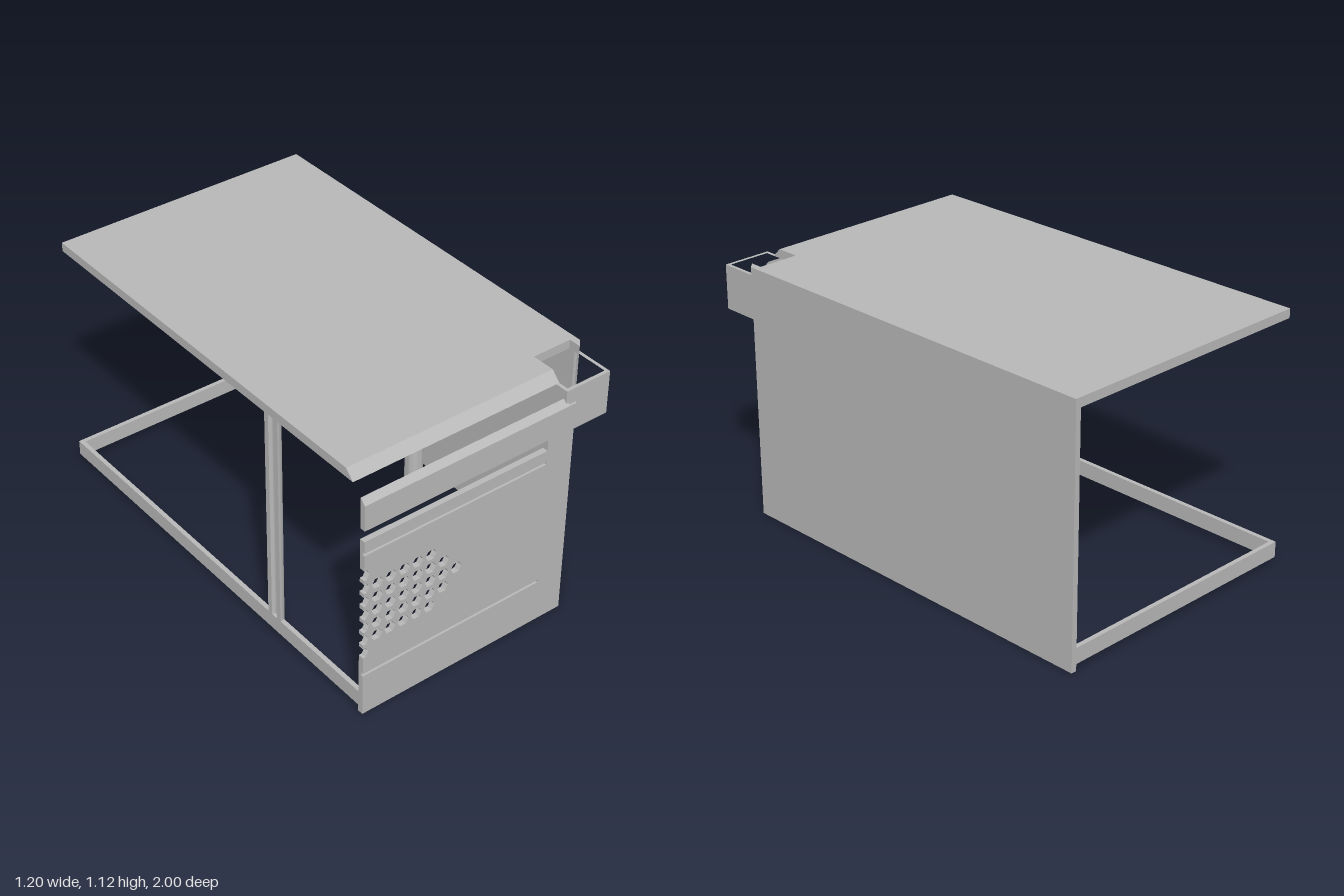
import * as THREE from 'three';
import { toCreasedNormals } from 'three/addons/utils/BufferGeometryUtils.js';

const grey = new THREE.MeshStandardMaterial({ color: 0xb8b8b8 });
grey.name = 'plainGrey';

const shapeOf = (pts) => new THREE.Shape(pts.map(([x, y]) => new THREE.Vector2(x, y)));

export function createModel() {
  const model = new THREE.Group();
  model.name = 'enclosure';

  const add = (name, geo, x = 0, y = 0, z = 0) => {
    const mesh = new THREE.Mesh(geo, grey);
    mesh.name = name;
    mesh.position.set(x, y, z);
    model.add(mesh);
    return mesh;
  };
  const box = (name, x0, x1, y0, y1, z0, z1) =>
    add(name, new THREE.BoxGeometry(x1 - x0, y1 - y0, z1 - z0),
      (x0 + x1) / 2, (y0 + y1) / 2, (z0 + z1) / 2);
  const extrude = (shape, depth) =>
    new THREE.ExtrudeGeometry(shape, { depth, bevelEnabled: false, curveSegments: 16 });
  // Raises a floor-plan outline, given as [x, z], from y0 to y1
  const planShape = (pts) => shapeOf(pts.map(([x, z]) => [x, -z]));
  const raise = (shape, y0, y1) => extrude(shape, y1 - y0).rotateX(-Math.PI / 2).translate(0, y0, 0);

  // Top plate, notched for the corner socket, with a sloping front edge
  const top = raise(planShape([
    [-0.6, -1], [0.6, -1], [0.6, 0.81], [0.57, 0.84], [0.57, 0.785], [0.385, 0.785], [0.385, 0.89], [-0.6, 0.89],
  ]), 1.08, 1.12);
  const p = top.attributes.position;
  for (let i = 0; i < p.count; i++) {
    if (Math.abs(p.getZ(i) - 0.89) < 0.001 && p.getY(i) < 1.1) p.setZ(i, 0.93);
  }
  top.computeVertexNormals();
  add('topPlate', top);

  // Side wall and angled corner wall
  box('sideWall', 0.575, 0.6, 0, 1.08, -1, 0.81);
  add('cornerWall', raise(planShape([[0.41, 1], [0.6, 0.81], [0.575, 0.8], [0.4, 0.975]]), 0, 0.885));
  add('cornerWallFrontEdge', raise(planShape([[0.41, 1], [0.42, 0.99], [0.4, 0.985], [0.4, 1]]), 0.885, 1.015));
  add('cornerWallSideEdge', raise(planShape([[0.59, 0.82], [0.6, 0.81], [0.59, 0.8]]), 0.885, 1.08));

  // Front panel: hexagonal vents and a long slot, all open at the cut edge
  const left = -0.6, step = 0.0635, r = 0.026, h = r * Math.sqrt(3) / 2;
  const groove = (y) => [[left, y + 0.0075], [0.28, y + 0.0075], [0.28, y - 0.0075], [left, y - 0.0075]];
  const frontShape = (grooved) => {
    const pts = [[left, 0], [0.41, 0], [0.41, 1.015], [left, 1.015],
      [left, 0.9], [0.28, 0.9], [0.28, 0.85], [left, 0.85]];
    if (grooved) pts.push(...groove(0.7925));
    for (let row = 3; row >= -3; row--) {
      const y = 0.5 + row * step;
      pts.push([left, y + h], [left + r / 2, y + h], [left + r, y], [left + r / 2, y - h], [left, y - h]);
    }
    if (grooved) pts.push(...groove(0.2025));
    const shape = shapeOf(pts);
    const columns = [7, 6, 5, 0];
    for (let row = -3; row <= 3; row++) {
      for (let col = 1; col <= columns[Math.abs(row)]; col++) {
        const hole = new THREE.Path();
        for (let k = 0; k < 6; k++) {
          const a = k * Math.PI / 3;
          const x = left + col * step + r * Math.cos(a), y = 0.5 + row * step + r * Math.sin(a);
          if (k) hole.lineTo(x, y); else hole.moveTo(x, y);
        }
        hole.closePath();
        shape.holes.push(hole);
      }
    }
    return shape;
  };
  add('frontPanelInner', extrude(frontShape(false), 0.015), 0, 0, 0.975);
  add('frontPanelGrooved', extrude(frontShape(true), 0.01), 0, 0, 0.99);

  // Sloping lip along the top of the front panel
  const lip = extrude(shapeOf([[-1, 1.015], [-0.975, 1.015], [-0.975, 1.04]]), 0.98).rotateY(Math.PI / 2);
  add('frontLip', lip, left);

  // Bottom rails on the two open sides
  box('openSideRail', -0.6, -0.58, 0.03, 0.1, -1, 0.975);
  box('backRail', -0.6, 0.575, 0.03, 0.1, -1, -0.98);

  // Corner socket, open above and below
  const socket = planShape([[0.37, 0.77], [0.59, 0.77], [0.59, 0.99], [0.37, 0.99]]);
  socket.holes.push(planShape([[0.385, 0.785], [0.575, 0.785], [0.575, 0.975], [0.385, 0.975]]));
  add('cornerSocket', raise(socket, 0.885, 1.08));
  // Part of the corner wall that passes below the socket opening is left standing

  // Hollow posts: one whole, one halved at the open side
  const tube = new THREE.Shape().absarc(0, 0, 0.04, 0, Math.PI * 2);
  tube.holes.push(new THREE.Path().absarc(0, 0, 0.016, 0, Math.PI * 2, true));
  add('post', toCreasedNormals(raise(tube, 0.03, 1.08), 0.6), 0.44, 0, 0.04);
  const half = new THREE.Shape();
  half.absarc(0, 0, 0.04, -Math.PI / 2, Math.PI / 2, false);
  half.absarc(0, 0, 0.016, Math.PI / 2, -Math.PI / 2, true);
  half.closePath();
  add('halfPost', toCreasedNormals(raise(half, 0.03, 1.08), 0.6), left, 0, 0.44);

  return model;
}
